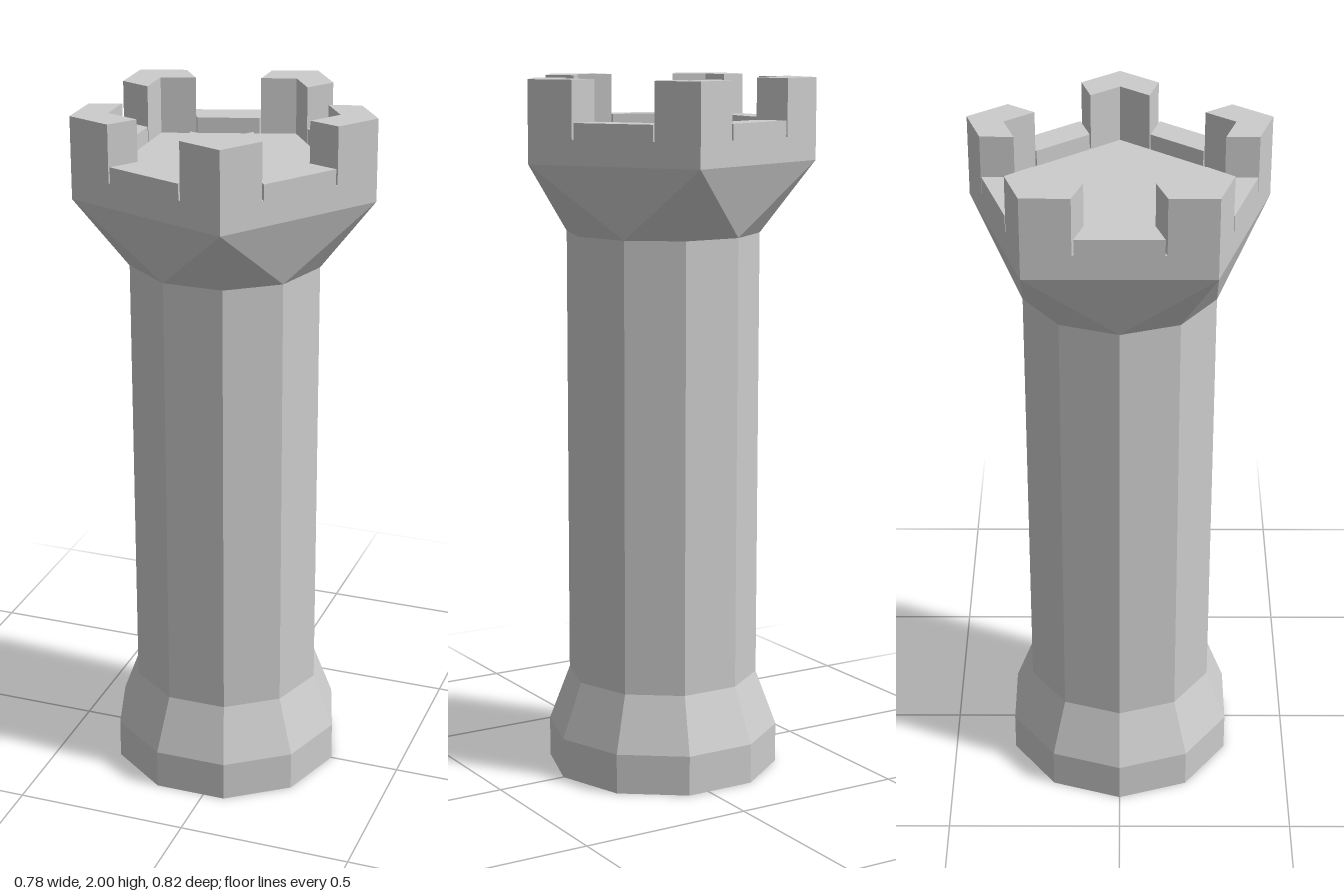
import * as THREE from 'three';

const CENTRE_X = -0.04;
const OUTER = 0.43, INNER = 0.325;      // corner radii of the parapet
const FLOOR_Y = 1.84, SILL_Y = 1.885, TOP_Y = 2;

const material = new THREE.MeshStandardMaterial({ color: 0xcccccc, flatShading: true });

// Ten points: a decagon, or a pentagon whose odd points sit halfway along its sides
const ring = (y, r, pentagon = false) =>
  Array.from({ length: 10 }, (_, k) => {
    const a = (k * Math.PI) / 5;
    const rad = pentagon && k % 2 ? r * Math.cos(Math.PI / 5) : r;
    return [rad * Math.cos(a), y, rad * Math.sin(a)];
  });

// Skin a stack of rings and close both ends
function loft(rings) {
  const pos = [];
  const tri = (a, b, c) => pos.push(...a, ...b, ...c);
  const low = rings[0], high = rings[rings.length - 1];
  for (let k = 0; k < 10; k++) {
    const n = (k + 1) % 10;
    for (let i = 0; i < rings.length - 1; i++) {
      const lo = rings[i], hi = rings[i + 1];
      if (k % 2) {                       // mirror the diagonals about each corner
        tri(lo[k], hi[k], hi[n]);
        tri(lo[k], hi[n], lo[n]);
      } else {
        tri(lo[k], hi[k], lo[n]);
        tri(hi[k], hi[n], lo[n]);
      }
    }
    tri([0, low[0][1], 0], low[k], low[n]);
    tri([0, high[0][1], 0], high[n], high[k]);
  }
  const geo = new THREE.BufferGeometry();
  geo.setAttribute('position', new THREE.Float32BufferAttribute(pos, 3));
  geo.computeVertexNormals();
  return geo;
}

// Point on a pentagon outline; s counts sides, so whole numbers are corners
function onPentagon(r, s) {
  const k = Math.floor(s), f = s - k;
  const corner = (i) => new THREE.Vector2(
    r * Math.cos((i * 2 * Math.PI) / 5), r * Math.sin((i * 2 * Math.PI) / 5));
  return corner(k).lerp(corner(k + 1), f);
}

// Parapet block following the wall through the given stops
function wallBlock(stops, height) {
  const outline = [
    ...stops.map((s) => onPentagon(OUTER, s)),
    ...[...stops].reverse().map((s) => onPentagon(INNER, s)),
  ];
  const geo = new THREE.ExtrudeGeometry(new THREE.Shape(outline), { depth: height, bevelEnabled: false });
  geo.rotateX(-Math.PI / 2);
  geo.translate(0, FLOOR_Y, 0);
  return geo;
}

export function createModel() {
  const group = new THREE.Group();
  group.name = 'tower';
  const add = (name, geo) => {
    const mesh = new THREE.Mesh(geo, material);
    mesh.name = name;
    mesh.position.x = CENTRE_X;
    group.add(mesh);
  };

  // Flared foot, shaft, and head widening from ten sides to five
  add('towerBody', loft([
    ring(0, 0.335), ring(0.115, 0.335), ring(0.275, 0.275),
    ring(1.565, 0.275), ring(1.77, OUTER, true), ring(FLOOR_Y, OUTER, true),
  ]));

  // Corner merlons, with low sills between them set off by narrow joints
  for (let k = 0; k < 5; k++) {
    add('merlon' + (k + 1), wallBlock([k - 0.26, k, k + 0.26], TOP_Y - FLOOR_Y));
    add('sill' + (k + 1), wallBlock([k + 0.27, k + 0.73], SILL_Y - FLOOR_Y));
  }
  return group;
}
